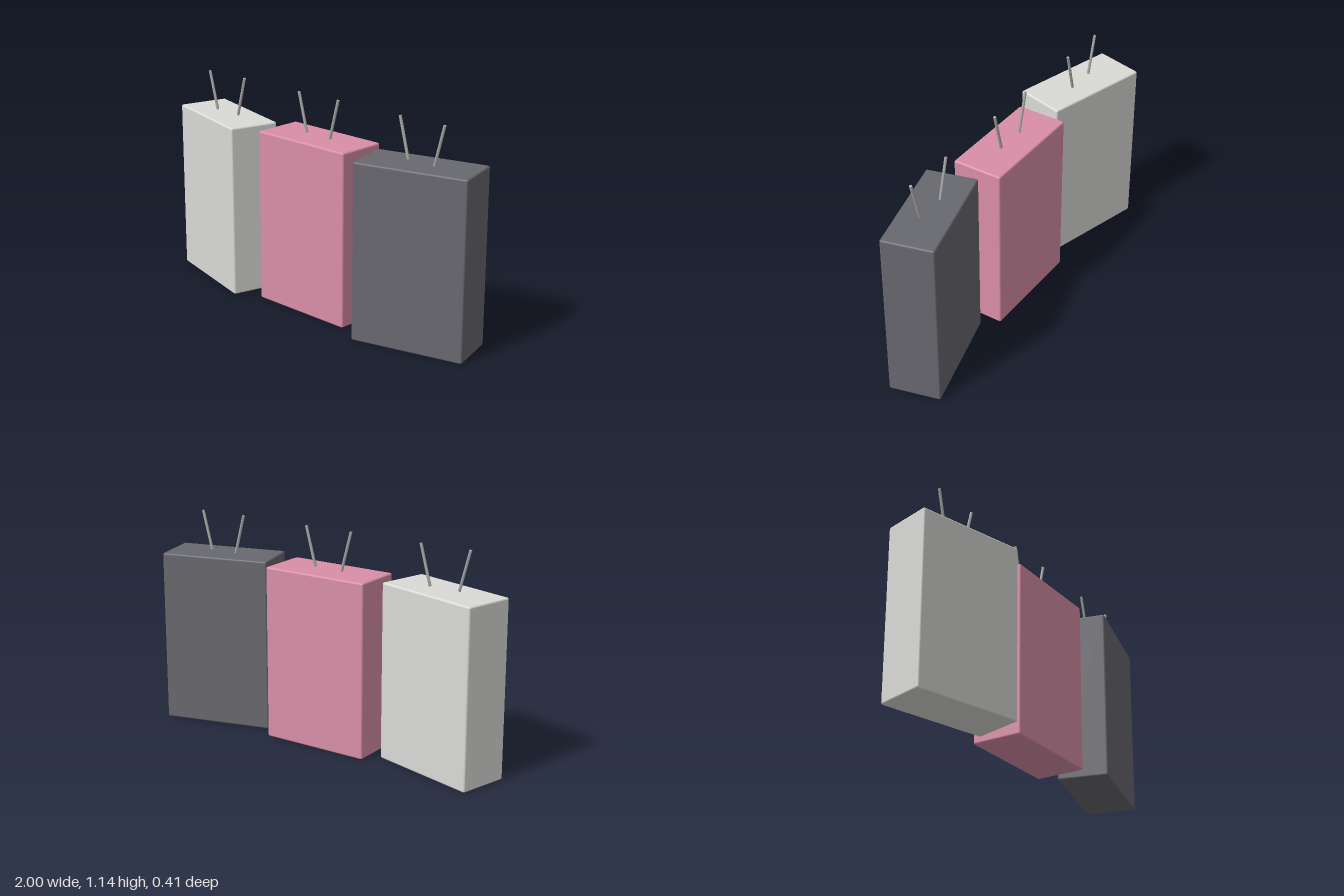
import * as THREE from 'three';
import { RoundedBoxGeometry } from 'three/addons/geometries/RoundedBoxGeometry.js';

const WIDTH = 0.596, HEIGHT = 0.925, DEPTH = 0.27;
const TILT = THREE.MathUtils.degToRad(15);

function material(name, color) {
  const m = new THREE.MeshStandardMaterial({ color });
  m.name = name;
  return m;
}

export function createModel() {
  const model = new THREE.Group();
  model.name = 'threeBoxes';

  const metal = material('rodGrey', 0xa8a8a8);
  const bodyGeometry = new RoundedBoxGeometry(WIDTH, HEIGHT, DEPTH, 3, 0.01);
  const rodGeometry = new THREE.CylinderGeometry(0.0075, 0.0075, 0.216, 8);

  // Upright block with two rods spreading in a V; the rods stay in the z = 0 plane
  function addUnit(name, x, turn, bodyMaterial) {
    const unit = new THREE.Group();
    unit.name = name;
    unit.position.x = x;

    const body = new THREE.Mesh(bodyGeometry, bodyMaterial);
    body.name = 'body';
    body.position.y = HEIGHT / 2;
    body.rotation.y = turn;
    unit.add(body);

    for (const side of [-1, 1]) {
      const rod = new THREE.Mesh(rodGeometry, metal);
      rod.name = side > 0 ? 'leftRod' : 'rightRod';
      rod.position.set(side * 0.109, 1.034, 0);
      rod.rotation.z = -side * TILT;
      unit.add(rod);
    }
    model.add(unit);
  }

  // Outer blocks turn inwards around the middle one
  addUnit('rightBlock', -0.68, -TILT, material('paleGrey', 0xdadad7));
  addUnit('middleBlock', 0, 0, material('pink', 0xd98fa7));
  addUnit('leftBlock', 0.68, TILT, material('darkGrey', 0x68686f));

  return model;
}
